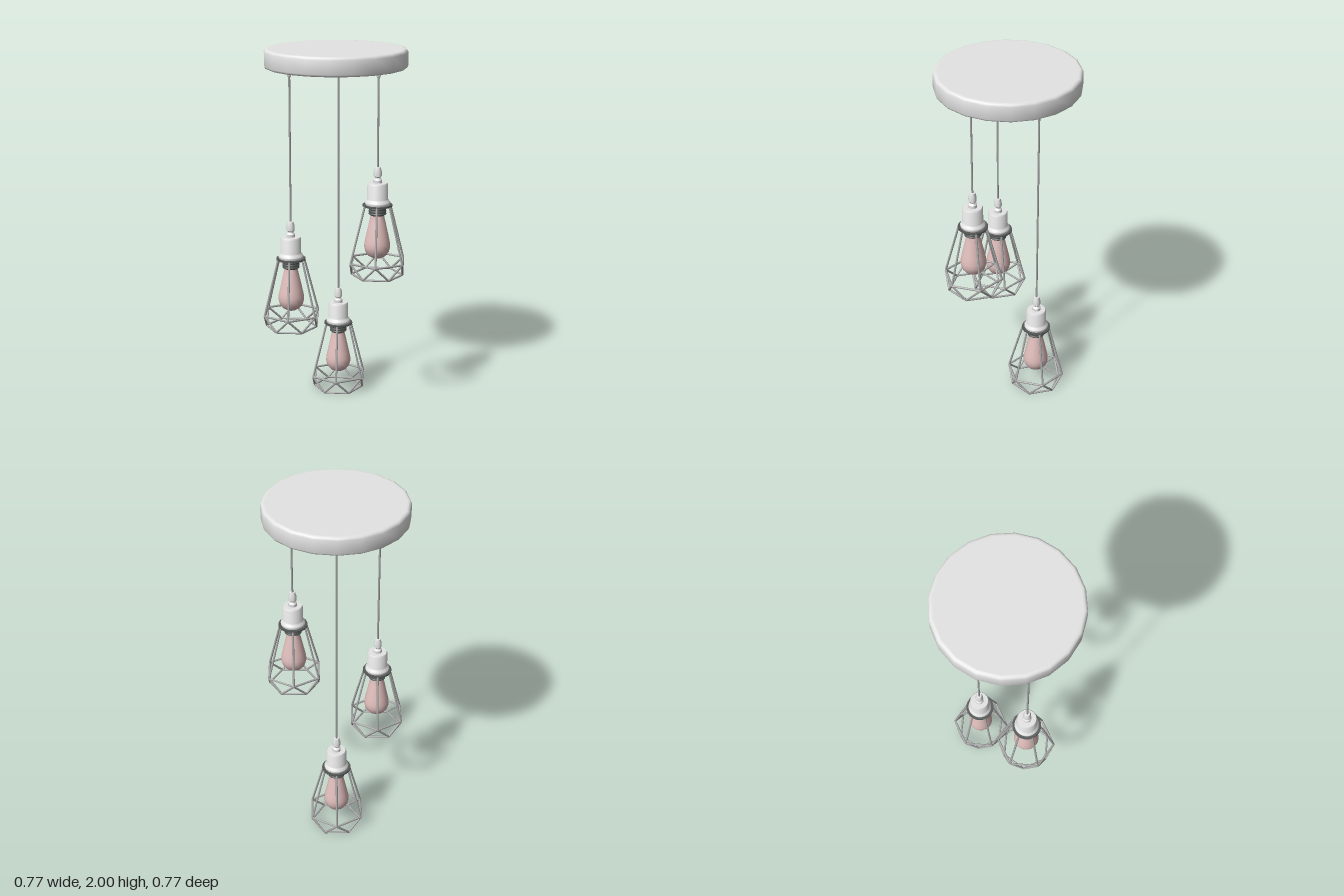
import * as THREE from 'three';
import { toCreasedNormals } from 'three/addons/utils/BufferGeometryUtils.js';

const paint = (name, color) => {
  const m = new THREE.MeshStandardMaterial({ color });
  m.name = name;
  return m;
};

export function createModel() {
  const metal = paint('lightGreyMetal', 0xe4e4e4);
  const wire = paint('greyWire', 0xa6a6a6);
  const dark = paint('darkMetal', 0x565858);
  const glass = paint('pinkGlass', 0xe0bebc);

  const root = new THREE.Group();
  root.name = 'pendantLamp';

  const add = (parent, name, geometry, material) => {
    const mesh = new THREE.Mesh(geometry, material);
    mesh.name = name;
    parent.add(mesh);
    return mesh;
  };

  // Turned part from [radius, y] pairs listed bottom to top
  const turned = (points, sides, crease = 0.6) => toCreasedNormals(
    new THREE.LatheGeometry(points.map(([r, y]) => new THREE.Vector2(r, y)), sides), crease);

  // Straight rod between two points
  const rod = (parent, name, a, b, radius, material) => {
    const dir = b.clone().sub(a);
    const mesh = add(parent, name, new THREE.CylinderGeometry(radius, radius, dir.length(), 8), material);
    mesh.position.copy(a).add(b).multiplyScalar(0.5);
    mesh.quaternion.setFromUnitVectors(new THREE.Vector3(0, 1, 0), dir.normalize());
  };

  // Corner i of a six-sided ring; turn is in steps of 60 degrees
  const corner = (radius, y, i, turn = 0) => {
    const a = (i + turn) * Math.PI / 3;
    return new THREE.Vector3(radius * Math.sin(a), y, radius * Math.cos(a));
  };

  // Ceiling plate with a narrow rounded rim and flat faces
  add(root, 'ceilingPlate', turned([
    [0, 1.898], [0.364, 1.898], [0.374, 1.898], [0.383, 1.902], [0.387, 1.911],
    [0.387, 1.984], [0.383, 1.995], [0.374, 2], [0.364, 2], [0, 2],
  ], 20, 0.8), metal);

  const pendant = (name, x, lift, z) => {
    const g = new THREE.Group();
    g.name = name;
    g.position.set(x, lift, z);
    root.add(g);
    const top = 1.9 - lift;

    // Cord and its plug under the plate
    rod(g, 'cord', new THREE.Vector3(0, 0.59, 0), new THREE.Vector3(0, top, 0), 0.0055, wire);
    add(g, 'cordPlug', turned([
      [0.006, top - 0.04], [0.01, top - 0.034], [0.012, top - 0.018], [0.016, top - 0.014], [0.016, top],
    ], 12), metal);

    // Cord grip, socket and flange
    add(g, 'cordGrip', turned([
      [0.024, 0.515], [0.024, 0.535], [0.016, 0.545], [0.016, 0.55],
      [0.022, 0.556], [0.022, 0.582], [0.015, 0.605], [0, 0.607],
    ], 16), metal);
    add(g, 'socket', turned([
      [0, 0.4], [0.066, 0.4], [0.068, 0.405], [0.068, 0.414], [0.064, 0.42], [0.058, 0.428],
      [0.056, 0.432], [0.056, 0.51], [0.051, 0.519], [0, 0.52],
    ], 24), metal);

    // Ribbed thread above the bulb
    const ribs = [[0, 0.34], [0.036, 0.34]];
    for (let i = 0; i < 4; i++) {
      const y = 0.344 + i * 0.014;
      ribs.push([0.042, y], [0.048, y + 0.004], [0.048, y + 0.008], [0.042, y + 0.012]);
    }
    add(g, 'bulbThread', turned([...ribs, [0, 0.4]], 20, 1), dark);

    // Pear-shaped bulb
    add(g, 'bulb', turned([
      [0, 0.098], [0.025, 0.102], [0.048, 0.115], [0.064, 0.136], [0.071, 0.162], [0.07, 0.185],
      [0.064, 0.215], [0.054, 0.26], [0.044, 0.305], [0.037, 0.335], [0.036, 0.348],
    ], 24, 1), glass);

    // Wire cage: collar, six long struts, wide ring, zigzag and bottom ring
    const cage = new THREE.Group();
    cage.name = 'cage';
    g.add(cage);
    add(cage, 'cageCollar', turned([
      [0.045, 0.392], [0.081, 0.392], [0.081, 0.4], [0.045, 0.4],
    ], 24), dark);
    const r = 0.0058;
    for (let i = 0; i < 6; i++) {
      const wide = corner(0.161, 0.084, i);
      const low = corner(0.139, 0.006, i, 0.5);
      const nextWide = corner(0.161, 0.084, i + 1);
      rod(cage, 'longStrut', corner(0.077, 0.395, i), wide, r, wire);
      rod(cage, 'wideRingBar', wide, nextWide, r, wire);
      rod(cage, 'zigzagBar', wide, low, r, wire);
      rod(cage, 'zigzagBar', low, nextWide, r, wire);
      rod(cage, 'bottomRingBar', low, corner(0.139, 0.006, i + 1, 0.5), r, wire);
    }
  };

  pendant('rightPendant', -0.236, 0.467, 0.128);
  pendant('backPendant', 0.001, 0, -0.168);
  pendant('leftPendant', 0.236, 0.779, 0.128);
  return root;
}
